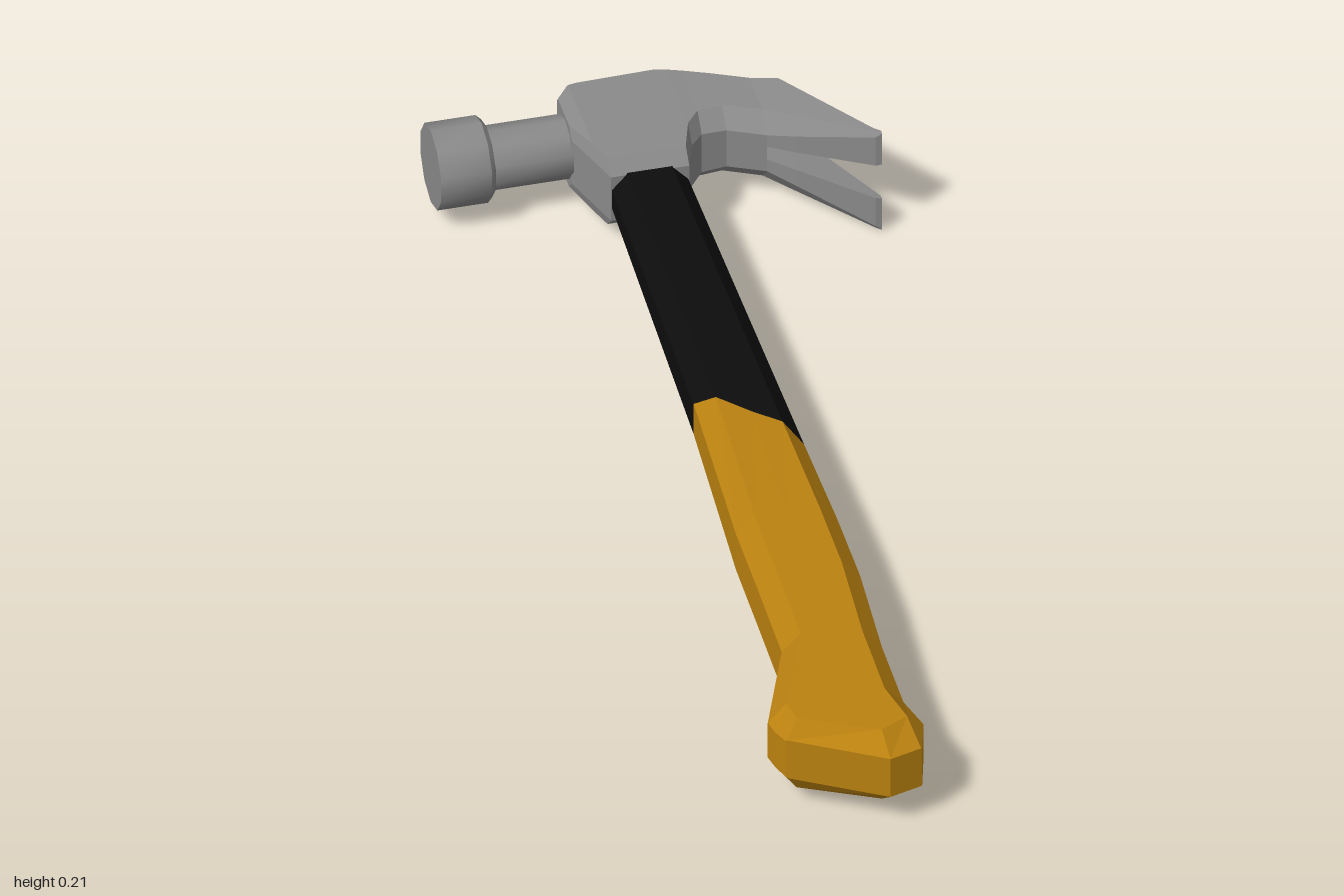
import * as THREE from 'three';
import { toCreasedNormals } from 'three/addons/utils/BufferGeometryUtils.js';

const CY = 0.11; // height of the tool's mid plane

// Faceted skin over rings of points, closed at both ends
function loft(rings, flip = false) {
  const pos = [];
  const tri = (a, b, c) => pos.push(...a, ...(flip ? c : b), ...(flip ? b : c));
  const n = rings[0].length;
  for (let i = 0; i < rings.length - 1; i++) {
    for (let j = 0; j < n; j++) {
      const k = (j + 1) % n;
      const a = rings[i][j], b = rings[i][k], c = rings[i + 1][k], d = rings[i + 1][j];
      tri(a, b, c);
      tri(a, c, d);
    }
  }
  const s = rings[0], e = rings[rings.length - 1];
  for (let j = 1; j < n - 1; j++) {
    tri(s[0], s[j + 1], s[j]);
    tri(e[0], e[j], e[j + 1]);
  }
  const g = new THREE.BufferGeometry();
  g.setAttribute('position', new THREE.Float32BufferAttribute(pos, 3));
  g.computeVertexNormals();
  return g;
}

// Chamfered handle ring through a left, middle and right point [x, z]
function handleRing([xl, zl, xm, zm, xr, zr, h, c]) {
  const zAt = x => x < xm
    ? zl + (zm - zl) * (x - xl) / (xm - xl)
    : zm + (zr - zm) * (x - xm) / (xr - xm);
  const v = h - c * 1.1;
  return [
    [xm, h], [xl + c, h], [xl, v], [xl, -v], [xl + c, -h],
    [xm, -h], [xr - c, -h], [xr, -v], [xr, v], [xr - c, h],
  ].map(([x, y]) => [x, CY + y, zAt(x)]);
}

// Upper or lower half of a head section: x, back z, front z, outer and inner half height, chamfer
function headRing([x, zb, zf, out, inn, c], side) {
  const b = Math.min(0.008, c);
  return [
    [inn, zb], [out - b, zb], [out, zb + b], [out, zf - c], [out - c, zf], [inn, zf],
  ].map(([y, z]) => [x, CY + side * y, z]);
}

export function createModel() {
  const model = new THREE.Group();
  const steel = new THREE.MeshStandardMaterial({ color: 0x8a8a8a });
  const yellow = new THREE.MeshStandardMaterial({ color: 0xbb8210 });
  const black = new THREE.MeshStandardMaterial({ color: 0x0d0d0d });
  steel.name = 'steel';
  yellow.name = 'yellow grip';
  black.name = 'black shaft';

  const add = (parent, name, geometry, material) => {
    const mesh = new THREE.Mesh(geometry, material);
    mesh.name = name;
    parent.add(mesh);
    return mesh;
  };

  // Handle: black shaft and yellow grip share the slanted seam ring
  const seam = [-0.112, -0.09, -0.03, 0.0, 0.045, 0.07, 0.067, 0.031];
  const shaft = [
    [-0.093, -0.77, -0.025, -0.77, 0.043, -0.77, 0.049, 0.028],
    seam,
  ];
  const grip = [
    seam,
    [-0.135, 0.3, -0.045, 0.3, 0.046, 0.3, 0.075, 0.033],
    [-0.138, 0.47, -0.045, 0.47, 0.044, 0.47, 0.076, 0.033],
    [-0.142, 0.65, -0.055, 0.66, 0.03, 0.68, 0.076, 0.033],
    [-0.215, 0.84, -0.07, 0.84, 0.028, 0.84, 0.075, 0.034],
    [-0.209, 0.87, -0.04, 0.955, 0.046, 0.91, 0.075, 0.034],
    [-0.198, 0.9, -0.035, 0.998, 0.026, 0.98, 0.041, 0.002],
  ];
  const handle = new THREE.Group();
  handle.name = 'handle';
  model.add(handle);
  add(handle, 'shaft', loft(shaft.map(handleRing)), black);
  add(handle, 'grip', loft(grip.map(handleRing)), yellow);

  // Head body running into the split claw, mirrored about the mid plane
  const sections = [
    [-0.135, -0.965, -0.86, 0.066, 0, 0.02],
    [-0.11, -0.993, -0.785, 0.072, 0, 0.025],
    [-0.095, -0.996, -0.74, 0.072, 0, 0.025],
    [0.045, -1.0, -0.74, 0.072, 0, 0.025],
    [0.065, -0.995, -0.80, 0.072, 0, 0.028],
    [0.09, -0.987, -0.83, 0.071, 0, 0.03],
    [0.135, -0.968, -0.833, 0.071, 0, 0.032],
    [0.2, -0.936, -0.802, 0.072, 0, 0.033],
    [0.2, -0.936, -0.802, 0.072, 0.014, 0.033],
    [0.245, -0.912, -0.766, 0.081, 0.019, 0.027],
    [0.362, -0.702, -0.676, 0.104, 0.035, 0.008],
    [0.373, -0.682, -0.674, 0.106, 0.037, 0.002],
  ];
  const head = new THREE.Group();
  head.name = 'head';
  model.add(head);
  for (const side of [1, -1]) {
    const rings = sections.map(s => headRing(s, side));
    add(head, side > 0 ? 'upperClaw' : 'lowerClaw', loft(rings, side < 0), steel);
  }

  // Neck and striking face turned about the x axis
  const profile = [
    [0, -0.375], [0.077, -0.375], [0.077, -0.284], [0.068, -0.275],
    [0.057, -0.275], [0.057, -0.11], [0, -0.11],
  ].map(([r, x]) => new THREE.Vector2(r, x));
  const poll = new THREE.LatheGeometry(profile, 10, Math.PI / 2);
  poll.rotateZ(-Math.PI / 2);
  add(head, 'strikingFace', toCreasedNormals(poll, 0.7), steel).position.set(0, CY, -0.908);

  return model;
}
